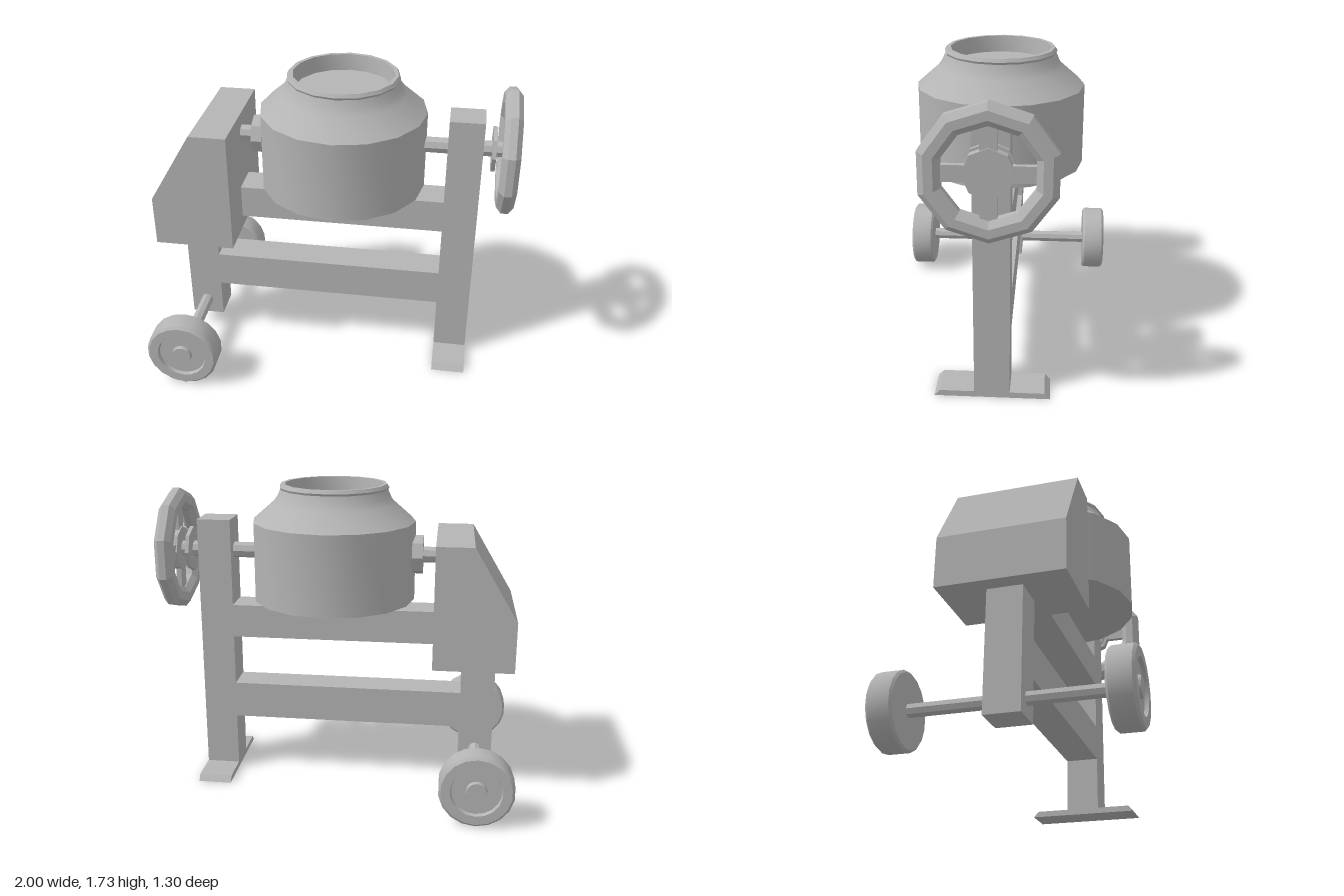
import * as THREE from 'three';
import { toCreasedNormals } from 'three/addons/utils/BufferGeometryUtils.js';

export function createModel() {
  const model = new THREE.Group();
  model.name = 'cementMixer';
  const grey = new THREE.MeshStandardMaterial({ color: 0xb4b4b4 });
  grey.name = 'plain grey';

  const add = (name, geometry, x = 0, y = 0, z = 0, parent = model) => {
    const mesh = new THREE.Mesh(geometry, grey);
    mesh.name = name;
    mesh.position.set(x, y, z);
    parent.add(mesh);
    return mesh;
  };
  // Box given by its limits in x and y and its half depth
  const box = (name, x0, x1, y0, y1, hz) =>
    add(name, new THREE.BoxGeometry(x1 - x0, y1 - y0, 2 * hz), (x0 + x1) / 2, (y0 + y1) / 2);
  const lathe = (points, sides, crease = 0.5, start = 0) => toCreasedNormals(
    new THREE.LatheGeometry(points.map(([r, y]) => new THREE.Vector2(r, y)), sides, start), crease);
  const rod = (r, length, sides = 8) =>
    toCreasedNormals(new THREE.CylinderGeometry(r, r, length, sides), 0.5);
  // Disc or rod lying along x between two limits
  const alongX = (name, r, x0, x1, y) => {
    add(name, rod(r, x1 - x0), (x0 + x1) / 2, y).rotation.z = -Math.PI / 2;
  };
  const prism = (points, depth) => {
    const shape = new THREE.Shape(points.map(([x, y]) => new THREE.Vector2(x, y)));
    return new THREE.ExtrudeGeometry(shape, { depth, bevelEnabled: false }).translate(0, 0, -depth / 2);
  };

  // Frame
  box('tallPost', 0.625, 0.815, 0, 1.525, 0.095);
  box('shortPost', -0.89, -0.70, 0.11, 0.78, 0.095);
  box('lowerBeam', -0.70, 0.625, 0.34, 0.55, 0.095);
  box('upperBeam', -0.54, 0.625, 0.84, 1.03, 0.095);
  add('foot', prism([[-0.31, 0], [0.31, 0], [0.28, 0.033], [-0.28, 0.033]], 0.19), 0.72)
    .rotation.y = Math.PI / 2;

  // Motor housing with sloped outer side
  add('motorHousing', prism(
    [[-0.98, 0.77], [-0.535, 0.77], [-0.535, 1.455], [-0.74, 1.455], [-0.98, 1.055]], 0.68));

  // Drum with shoulder, rim and shallow opening
  add('drum', lathe([
    [0, 1.08], [0.46, 1.08], [0.46, 1.525], [0.345, 1.625], [0.322, 1.655], [0.302, 1.70],
    [0.308, 1.712], [0.297, 1.73], [0.275, 1.73], [0.267, 1.64], [0, 1.64],
  ], 16), 0.045);

  // Tilting shaft and its collars
  const shaftY = 1.338;
  alongX('housingShaft', 0.045, -0.54, -0.40, shaftY);
  alongX('postShaft', 0.045, 0.48, 0.95, shaftY);
  alongX('drumCollar', 0.11, -0.46, -0.40, shaftY);
  alongX('shaftDisc', 0.13, 0.863, 0.884, shaftY);

  // Hand wheel: ten-sided rim, hub and four spokes
  const handWheel = new THREE.Group();
  handWheel.name = 'handWheel';
  handWheel.position.set(0.9525, shaftY, 0);
  handWheel.rotation.z = -Math.PI / 2;
  model.add(handWheel);
  const section = [];
  for (let i = 0; i <= 8; i++) {
    const a = (i + 0.5) * Math.PI / 4;
    section.push([0.293 + 0.062 * Math.cos(a), 0.0514 * Math.sin(a)]);
  }
  add('handWheelRim', lathe(section, 10, 0.1, Math.PI / 2), 0, 0, 0, handWheel);
  add('handWheelHub', rod(0.13, 0.045), 0, 0, 0, handWheel);
  add('spokeAlong', new THREE.BoxGeometry(0.54, 0.03, 0.085), 0, 0, 0, handWheel);
  add('spokeAcross', new THREE.BoxGeometry(0.085, 0.03, 0.54), 0, 0, 0, handWheel);

  // Axle and the two road wheels
  const axleX = -0.795, axleY = 0.207;
  add('axle', rod(0.037, 1.04), axleX, axleY).rotation.x = Math.PI / 2;
  for (const side of [1, -1]) {
    add(side > 0 ? 'frontWheel' : 'backWheel', lathe([
      [0, 0], [0.192, 0], [0.204, 0.012], [0.204, 0.125], [0.19, 0.138], [0.14, 0.138],
      [0.134, 0.118], [0.057, 0.118], [0.052, 0.136], [0, 0.136],
    ], 18), axleX, axleY, side * 0.51).rotation.x = side * Math.PI / 2;
  }
  return model;
}
